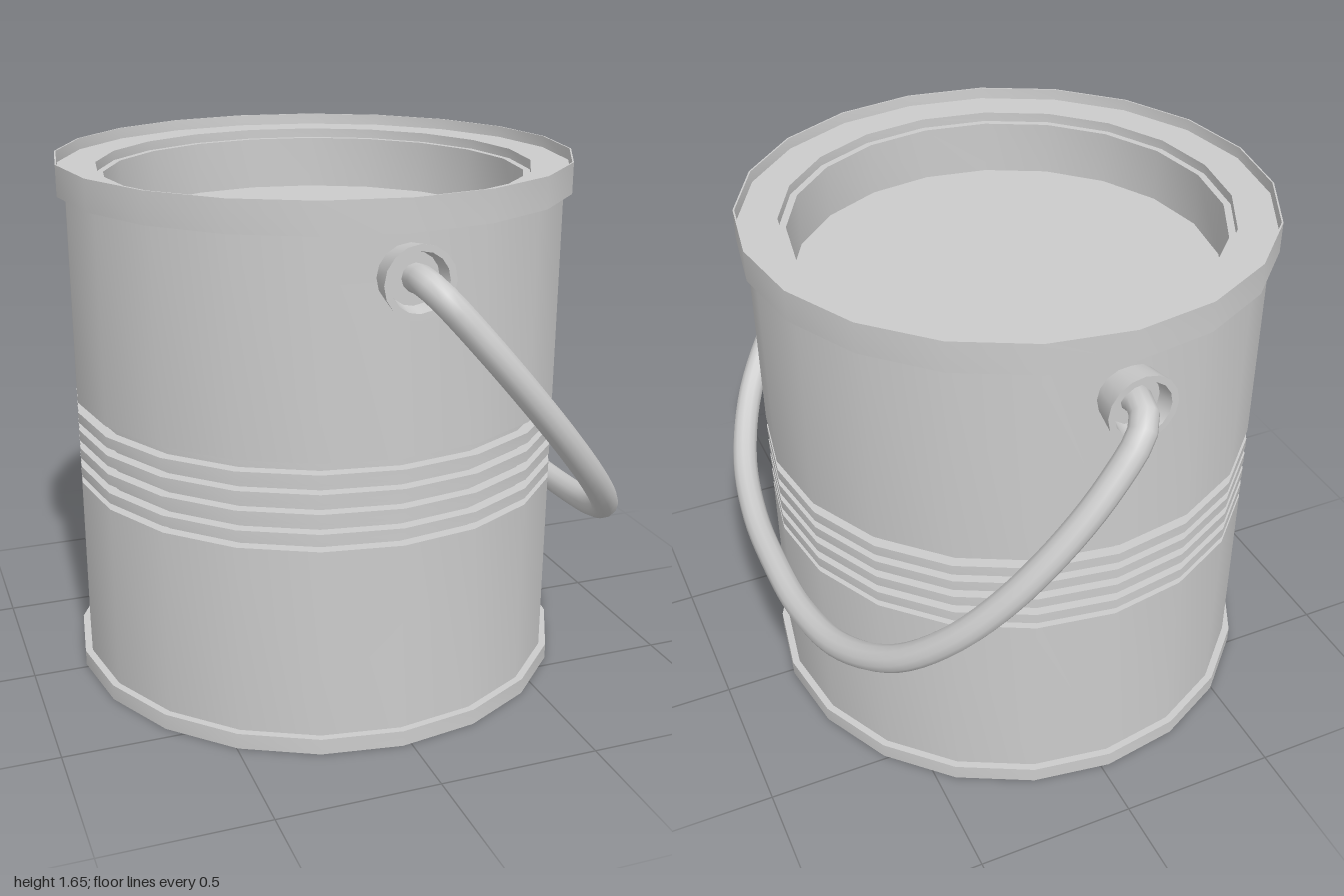
import * as THREE from 'three';
import { toCreasedNormals } from 'three/addons/utils/BufferGeometryUtils.js';

const material = new THREE.MeshStandardMaterial({ color: 0xcccccc });
const CX = -0.027, CZ = -0.017; // axis of the can

function lathe(name, points, sides) {
  const profile = points.map(([r, y]) => new THREE.Vector2(r, y));
  const geometry = toCreasedNormals(new THREE.LatheGeometry(profile, sides), 0.5);
  const mesh = new THREE.Mesh(geometry, material);
  mesh.name = name;
  return mesh;
}

export function createModel() {
  const group = new THREE.Group();
  group.name = 'paintCan';

  // Can: base flange, wall with ribbed band, rim, stepped opening and recessed lid
  const body = 0.777, groove = 0.742, rim = 0.803;
  const profile = [[0, 0], [0.8, 0], [0.8, 0.05], [body, 0.05], [body, 0.647], [groove, 0.647]];
  for (const y of [0.668, 0.729, 0.789, 0.848]) {
    profile.push([groove, y], [body, y], [body, y + 0.033], [groove, y + 0.033]);
  }
  profile.push(
    [groove, 0.915], [body, 0.915], [body, 1.56], [rim, 1.56], [rim, 1.655],
    [0.798, 1.655], [0.796, 1.62], [0.677, 1.62], [0.677, 1.59],
    [0.655, 1.59], [0.655, 1.42], [0, 1.42]
  );
  const can = lathe('can', profile, 20);
  can.position.set(CX, 0, CZ);
  group.add(can);

  // Flared, hollow ears that hold the handle, front and back
  for (const side of [1, -1]) {
    const ear = lathe(side > 0 ? 'frontEar' : 'backEar', [
      [0, 0], [0.09, 0], [0.105, 0.095], [0.085, 0.095], [0.075, 0.045], [0, 0.045]
    ], 16);
    ear.rotation.x = side * Math.PI / 2;
    ear.position.set(CX, 1.437, CZ + side * 0.757);
    group.add(ear);
  }

  // Handle: half path as [y, z], mirrored in z and tilted along a straight line in x
  const half = [
    [1.44, 0.79], [1.445, 0.86], [1.41, 0.92], [1.3, 0.953], [1.15, 0.958],
    [0.97, 0.925], [0.81, 0.85], [0.67, 0.72], [0.56, 0.5], [0.51, 0.25]
  ];
  const path = [...half, [0.5, 0], ...half.map(([y, z]) => [y, -z]).reverse()];
  const curve = new THREE.CatmullRomCurve3(path.map(([y, z]) =>
    new THREE.Vector3(-0.027 + (1.445 - y) * 0.865, y, z)));
  const handle = new THREE.Mesh(new THREE.TubeGeometry(curve, 80, 0.041, 12), material);
  handle.name = 'handle';
  group.add(handle);

  return group;
}
